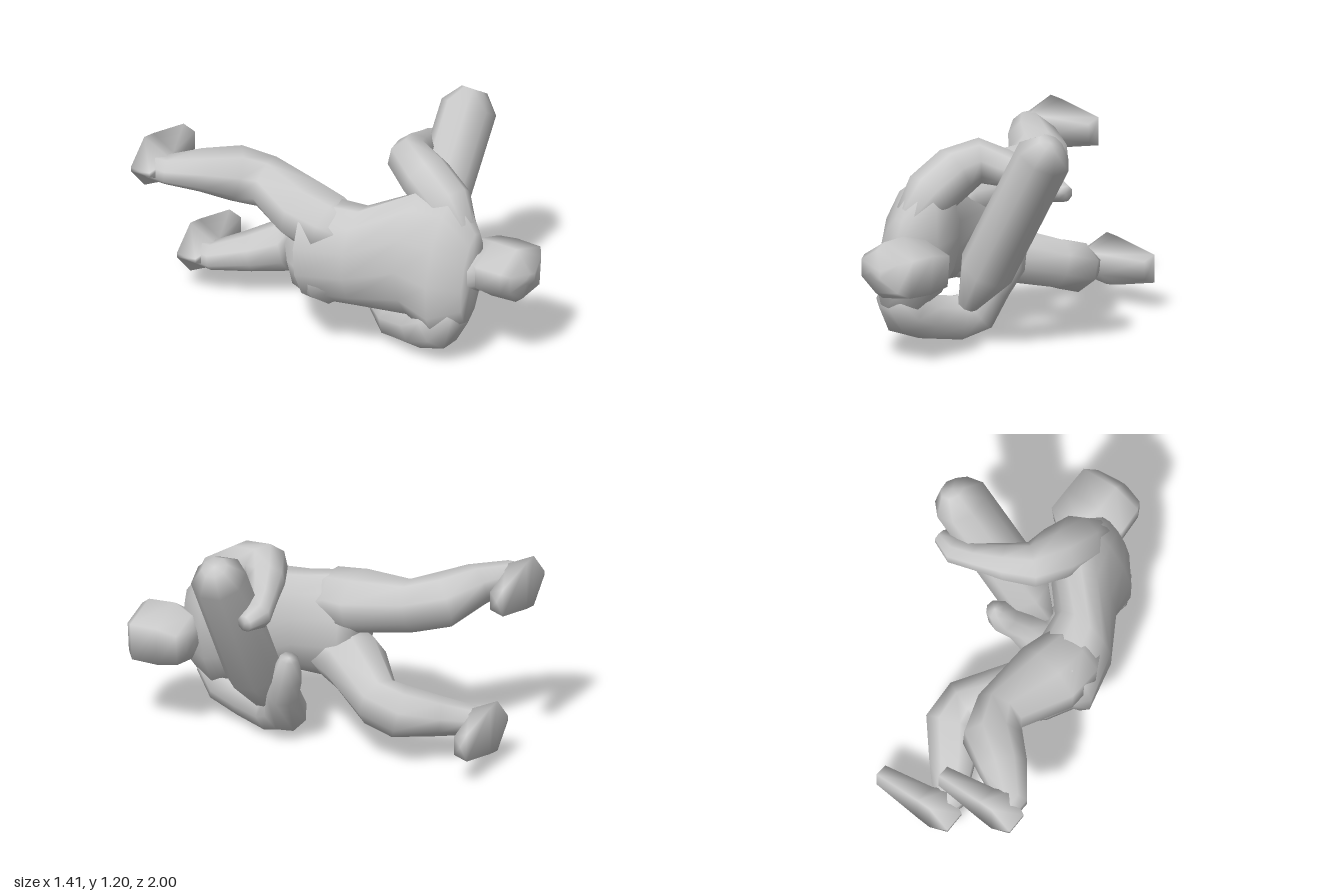
import * as THREE from 'three';

const V = (x, y, z) => new THREE.Vector3(x, y, z);
const material = new THREE.MeshStandardMaterial({ color: 0xcccccc });

// Skin rings of points (counter-clockwise about the path) and close both ends
function loft(rings) {
  const n = rings[0].length, m = rings.length, index = [];
  const points = rings.flat();
  for (const ring of [rings[0], rings[m - 1]]) {
    points.push(ring.reduce((s, p) => s.add(p), V(0, 0, 0)).divideScalar(n));
  }
  const start = n * m, end = start + 1;
  for (let k = 0; k < n; k++) {
    const l = (k + 1) % n;
    for (let i = 0; i < m - 1; i++) {
      const a = i * n + k, b = i * n + l;
      index.push(a, b, a + n, b, b + n, a + n);
    }
    index.push(start, l, k, end, (m - 1) * n + k, (m - 1) * n + l);
  }
  const g = new THREE.BufferGeometry().setFromPoints(points);
  g.setIndex(index);
  g.computeVertexNormals();
  return g;
}

// Elliptical ring around c with half-axes u and v
function ellipse(c, u, v, sides) {
  return Array.from({ length: sides }, (_, k) => {
    const a = ((k + 0.5) / sides) * Math.PI * 2;
    return c.clone().addScaledVector(u, Math.cos(a)).addScaledVector(v, Math.sin(a));
  });
}

// Tapered limb through stations [x, y, z, radius, sideRadius]
function limb(stations, sides = 8) {
  const p = stations.map(s => V(s[0], s[1], s[2]));
  const u = V(0, 1, 0);
  return loft(stations.map((s, i) => {
    const t = V(0, 0, 0);
    if (i > 0) t.add(p[i].clone().sub(p[i - 1]).normalize());
    if (i < p.length - 1) t.add(p[i + 1].clone().sub(p[i]).normalize());
    t.normalize();
    u.addScaledVector(t, -u.dot(t)).normalize();
    const v = t.clone().cross(u);
    return ellipse(p[i], u.clone().multiplyScalar(s[3]), v.multiplyScalar(s[4] ?? s[3]), sides);
  }));
}

// Trunk: tilted ellipses along z, [cx, cy, z, depth, width, tilt]
function trunk(sections) {
  return loft(sections.map(([x, y, z, d, w, tilt]) => {
    const c = Math.cos(tilt), s = Math.sin(tilt);
    return ellipse(V(x, y, z), V(c * d, -s * d, 0), V(s * w, c * w, 0), 12);
  }));
}

// Head: an uneven hexagon scaled along z, [cx, z, scale]
function headShape() {
  const hexagon = [[0.19, 0.09], [-0.03, 0.16], [-0.18, 0.07], [-0.18, -0.05], [-0.04, -0.15], [0.17, -0.12]];
  const sections = [[0.16, 0.615, 0.4], [0.14, 0.65, 0.8], [0.1, 0.77, 1], [0.105, 0.92, 0.97], [0.09, 0.965, 0.75], [0.09, 1, 0.2]];
  return loft(sections.map(([x, z, k]) => hexagon.map(([dx, dy]) => V(x + dx * k, 0.5 + dy * k, z))));
}

// Flared foot, sole on z = -1, heel at x, toes towards +x
function foot(x, y) {
  const sections = [[0, 0.012, 0.012, -0.88], [0.12, 0.14, 0.06, -0.83], [0.2, 0.13, 0.055, -0.87], [0.47, 0.075, 0.05, -0.925]];
  return loft(sections.map(([dx, sole, top, z]) => [
    V(x + dx, y + sole, -1), V(x + dx, y + top, z), V(x + dx, y - top, z), V(x + dx, y - sole, -1),
  ]));
}

export function createModel() {
  const model = new THREE.Group();
  model.name = 'figureHoldingLog';
  const add = (name, geometry) => {
    const mesh = new THREE.Mesh(geometry, material);
    mesh.name = name;
    model.add(mesh);
  };

  // Trunk, from hips to shoulders
  add('torso', trunk([
    [-0.3, 0.56, -0.14, 0.14, 0.2, -0.05],
    [-0.33, 0.55, -0.08, 0.21, 0.3, -0.08],
    [-0.28, 0.55, 0.18, 0.19, 0.28, 0.02],
    [-0.09, 0.57, 0.42, 0.22, 0.35, 0.22],
    [-0.07, 0.53, 0.59, 0.2, 0.4, 0.25],
    [-0.06, 0.49, 0.73, 0.09, 0.25, 0.22],
  ]));

  // Head and neck
  add('neck', limb([[-0.06, 0.5, 0.62, 0.12], [0.08, 0.5, 0.76, 0.11]]));
  add('head', headShape());

  // Arms, wrapped around the log
  add('leftArm', limb([
    [-0.02, 0.72, 0.63, 0.09], [0.01, 0.83, 0.52, 0.14], [0.04, 0.93, 0.36, 0.14], [0.09, 0.98, 0.22, 0.12],
    [0.21, 0.95, 0.16, 0.1], [0.36, 0.91, 0.1, 0.075], [0.48, 0.87, 0.07, 0.075], [0.59, 0.86, 0.09, 0.045],
  ]));
  add('rightArm', limb([
    [-0.12, 0.3, 0.67, 0.09], [-0.125, 0.21, 0.56, 0.145], [-0.1, 0.145, 0.42, 0.125], [-0.05, 0.12, 0.25, 0.125],
    [0.01, 0.15, 0.15, 0.12], [0.1, 0.29, 0.12, 0.09], [0.16, 0.41, 0.065, 0.085], [0.19, 0.53, 0.035, 0.05],
  ]));

  // Legs, bent at the knees
  add('leftLeg', limb([
    [-0.29, 0.64, 0.16, 0.1, 0.12], [-0.32, 0.69, 0.01, 0.16, 0.19], [-0.3, 0.71, -0.15, 0.16, 0.21],
    [-0.23, 0.77, -0.47, 0.14], [-0.3, 0.805, -0.615, 0.145, 0.165], [-0.46, 0.855, -0.73, 0.11, 0.135],
    [-0.6, 0.88, -0.85, 0.075, 0.095], [-0.61, 0.88, -0.95, 0.07],
  ]));
  add('rightLeg', limb([
    [-0.29, 0.46, 0.16, 0.1, 0.12], [-0.31, 0.41, 0.01, 0.16, 0.19], [-0.22, 0.39, -0.14, 0.165, 0.18],
    [0.04, 0.315, -0.41, 0.135], [0.03, 0.28, -0.53, 0.14, 0.15], [-0.09, 0.24, -0.69, 0.105, 0.125],
    [-0.19, 0.21, -0.85, 0.075, 0.095], [-0.19, 0.21, -0.95, 0.07],
  ]));
  add('leftFoot', foot(-0.71, 0.88));
  add('rightFoot', foot(-0.3, 0.21));

  // Log with bevelled ends
  add('log', limb([
    [0.043, 0.205, 0.265, 0.055], [0.174, 0.421, 0.255, 0.15],
    [0.583, 1.084, 0.245, 0.15], [0.634, 1.166, 0.245, 0.07],
  ]));
  return model;
}
